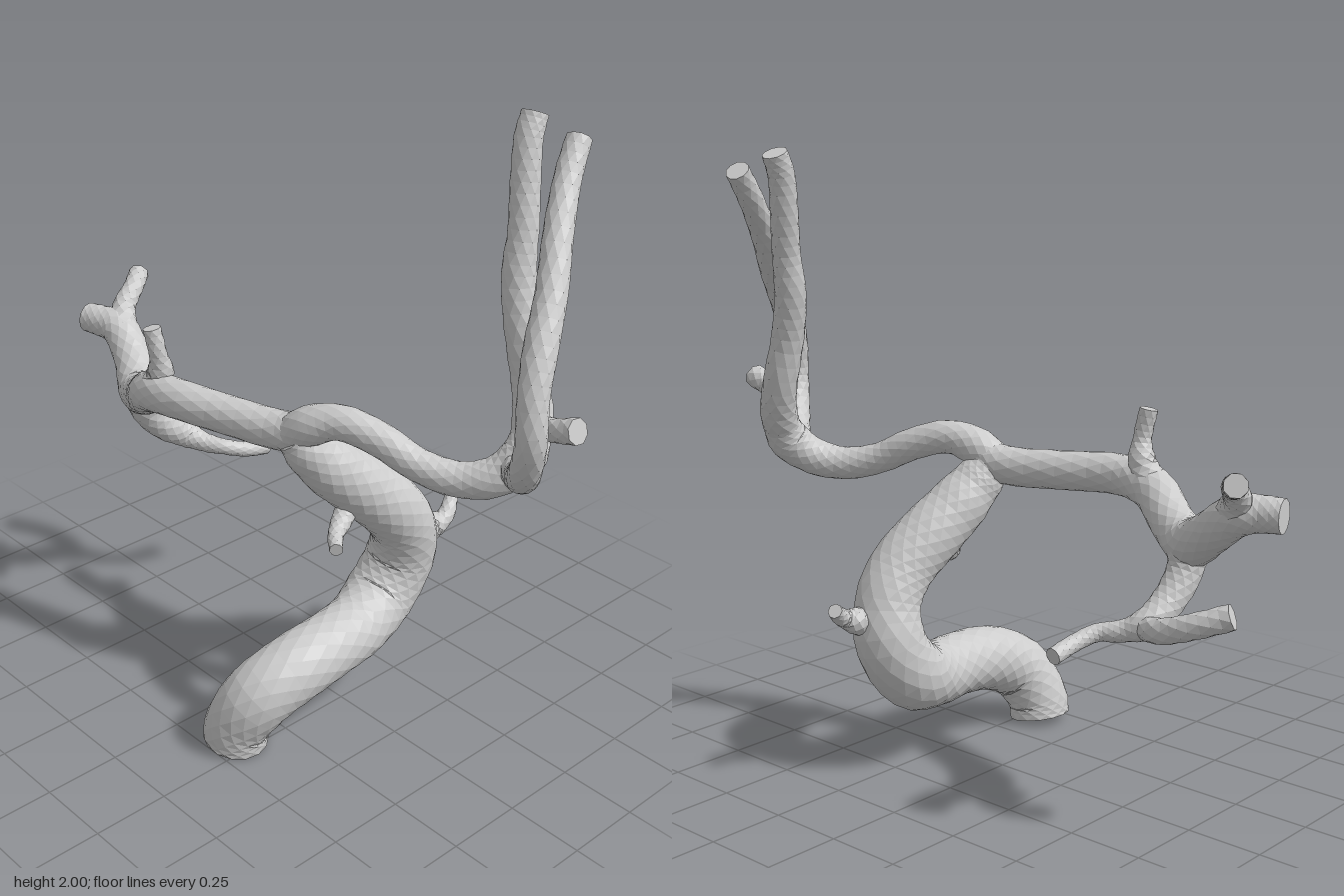
import * as THREE from 'three';

const material = new THREE.MeshStandardMaterial({ color: 0xcccccc, flatShading: true, side: THREE.DoubleSide });

// Capped tube through points [x, y, z, radius], swept with a non-twisting frame.
function vessel(name, points, sides = 10, steps = 4) {
  const curve = new THREE.CatmullRomCurve3(points.map(p => new THREE.Vector3(p[0], p[1], p[2])));
  const spans = points.length - 1, rings = spans * steps;
  const pos = [], index = [];
  const normal = new THREE.Vector3(0.31, 0.17, 0.93), binormal = new THREE.Vector3();
  const first = curve.getTangent(0);
  if (Math.abs(first.dot(normal)) > 0.8) normal.set(0.93, 0.31, 0.17);

  for (let i = 0; i <= rings; i++) {
    const t = i / rings, k = Math.min(Math.floor(i / steps), spans - 1);
    const f = THREE.MathUtils.smoothstep(i / steps - k, 0, 1);
    const r = THREE.MathUtils.lerp(points[k][3], points[k + 1][3], f);
    const c = curve.getPoint(t), tangent = curve.getTangent(t);
    normal.addScaledVector(tangent, -normal.dot(tangent)).normalize();
    binormal.crossVectors(tangent, normal);
    for (let j = 0; j < sides; j++) {
      const a = (j + (i % 2) / 2) / sides * Math.PI * 2;
      const v = c.clone().addScaledVector(normal, Math.cos(a) * r).addScaledVector(binormal, Math.sin(a) * r);
      pos.push(v.x, v.y, v.z);
    }
  }
  for (let i = 0; i < rings; i++) {
    for (let j = 0; j < sides; j++) {
      const n = (j + 1) % sides;
      const a = i * sides + j, b = i * sides + n, c = a + sides, d = b + sides;
      // Alternate rings are turned by half a side, giving triangular facets
      if (i % 2 === 0) index.push(a, b, c, b, d, c);
      else index.push(a, b, d, a, d, c);
    }
  }
  // Flat end caps
  const last = rings * sides;
  for (let j = 1; j < sides - 1; j++) {
    index.push(0, j + 1, j, last, last + j, last + j + 1);
  }
  const geometry = new THREE.BufferGeometry();
  geometry.setAttribute('position', new THREE.Float32BufferAttribute(pos, 3));
  geometry.setIndex(index);
  geometry.computeVertexNormals();
  const mesh = new THREE.Mesh(geometry, material);
  mesh.name = name;
  return mesh;
}

export function createModel() {
  const group = new THREE.Group();
  group.name = 'branchingVessel';

  // Thick S-shaped trunk
  group.add(vessel('trunk', [
    [0.19, 0, 0.41, 0.105], [0.2, 0.06, 0.41, 0.105], [0.25, 0.17, 0.36, 0.112], [0.28, 0.23, 0.24, 0.112],
    [0.28, 0.25, 0.08, 0.108], [0.26, 0.255, -0.06, 0.11], [0.23, 0.3, -0.19, 0.118], [0.24, 0.42, -0.27, 0.115],
    [0.265, 0.55, -0.255, 0.108], [0.265, 0.65, -0.19, 0.107], [0.235, 0.74, -0.1, 0.105],
    [0.2, 0.83, 0.0, 0.098], [0.17, 0.91, 0.075, 0.082], [0.14, 0.965, 0.11, 0.065],
  ], 14));

  // Main arm to the left of the front view, ending in a stub
  group.add(vessel('longArm', [
    [0.2, 1.0, 0.09, 0.055], [0.1, 0.965, 0.115, 0.064], [-0.1, 0.965, 0.175, 0.064], [-0.3, 0.97, 0.23, 0.066],
    [-0.43, 0.945, 0.22, 0.07], [-0.55, 0.87, 0.16, 0.07], [-0.65, 0.835, 0.11, 0.075], [-0.77, 0.9, 0.05, 0.066],
    [-0.87, 0.97, 0.03, 0.064], [-0.94, 0.98, 0.05, 0.055], [-1.0, 0.98, 0.065, 0.052],
  ], 12));

  // Wavy arm to the other side
  group.add(vessel('wavyArm', [
    [0.1, 0.95, 0.12, 0.055], [0.19, 1.01, 0.095, 0.065], [0.28, 1.042, 0.055, 0.056], [0.4, 1.01, 0.0, 0.054],
    [0.51, 0.955, -0.045, 0.052], [0.62, 0.93, -0.1, 0.055], [0.71, 0.95, -0.16, 0.062],
    [0.76, 1.01, -0.225, 0.07], [0.755, 1.08, -0.27, 0.06],
  ], 12));

  // Two long upright branches
  group.add(vessel('innerUpright', [
    [0.77, 1.0, -0.22, 0.055], [0.745, 1.1, -0.28, 0.063], [0.705, 1.2, -0.31, 0.058], [0.655, 1.38, -0.31, 0.054],
    [0.62, 1.52, -0.325, 0.052], [0.605, 1.65, -0.35, 0.046], [0.58, 1.78, -0.375, 0.045], [0.56, 1.9, -0.4, 0.043],
    [0.553, 1.965, -0.43, 0.041],
  ]));
  group.add(vessel('outerUpright', [
    [0.75, 0.99, -0.21, 0.055], [0.83, 1.01, -0.14, 0.052], [0.895, 1.08, -0.075, 0.048], [0.935, 1.19, -0.04, 0.046],
    [0.92, 1.32, -0.055, 0.046], [0.885, 1.44, -0.115, 0.05], [0.84, 1.56, -0.2, 0.047], [0.77, 1.7, -0.3, 0.044],
    [0.71, 1.82, -0.4, 0.041], [0.68, 1.91, -0.475, 0.039],
  ]));
  group.add(vessel('sideStub', [
    [0.75, 1.08, -0.27, 0.035], [0.82, 1.14, -0.22, 0.034], [0.9, 1.17, -0.185, 0.036], [0.985, 1.2, -0.18, 0.04],
  ], 8));

  // Drooping branch that forks in two
  group.add(vessel('droopingBranch', [
    [-0.65, 0.84, 0.11, 0.07], [-0.65, 0.75, 0.085, 0.056], [-0.64, 0.67, 0.02, 0.052],
    [-0.62, 0.615, -0.06, 0.048], [-0.56, 0.59, -0.1, 0.034],
    [-0.5, 0.582, -0.14, 0.028], [-0.47, 0.56, -0.21, 0.027], [-0.465, 0.54, -0.3, 0.027],
  ]));
  group.add(vessel('droopingFork', [
    [-0.6, 0.605, -0.06, 0.038], [-0.7, 0.618, -0.095, 0.04], [-0.8, 0.65, -0.085, 0.04], [-0.905, 0.69, -0.035, 0.04],
  ], 8));

  // Short twigs
  const twigs = {
    armTwig: [[-0.42, 0.96, 0.22, 0.06], [-0.385, 1.03, 0.22, 0.045], [-0.375, 1.1, 0.235, 0.03], [-0.39, 1.19, 0.245, 0.03]],
    endTwig: [[-0.85, 0.97, 0.03, 0.055], [-0.9, 1.03, -0.02, 0.042], [-0.925, 1.075, -0.08, 0.036], [-0.975, 1.1, -0.145, 0.036]],
    trunkFrontTwig: [[0.22, 0.72, -0.06, 0.04], [0.25, 0.67, 0.01, 0.035], [0.285, 0.655, 0.07, 0.026], [0.345, 0.65, 0.125, 0.022]],
    trunkBackTwig: [[0.27, 0.5, -0.32, 0.07], [0.28, 0.51, -0.38, 0.045], [0.29, 0.53, -0.43, 0.03], [0.265, 0.57, -0.485, 0.024]],
  };
  for (const [name, points] of Object.entries(twigs)) group.add(vessel(name, points, 8));

  return group;
}
